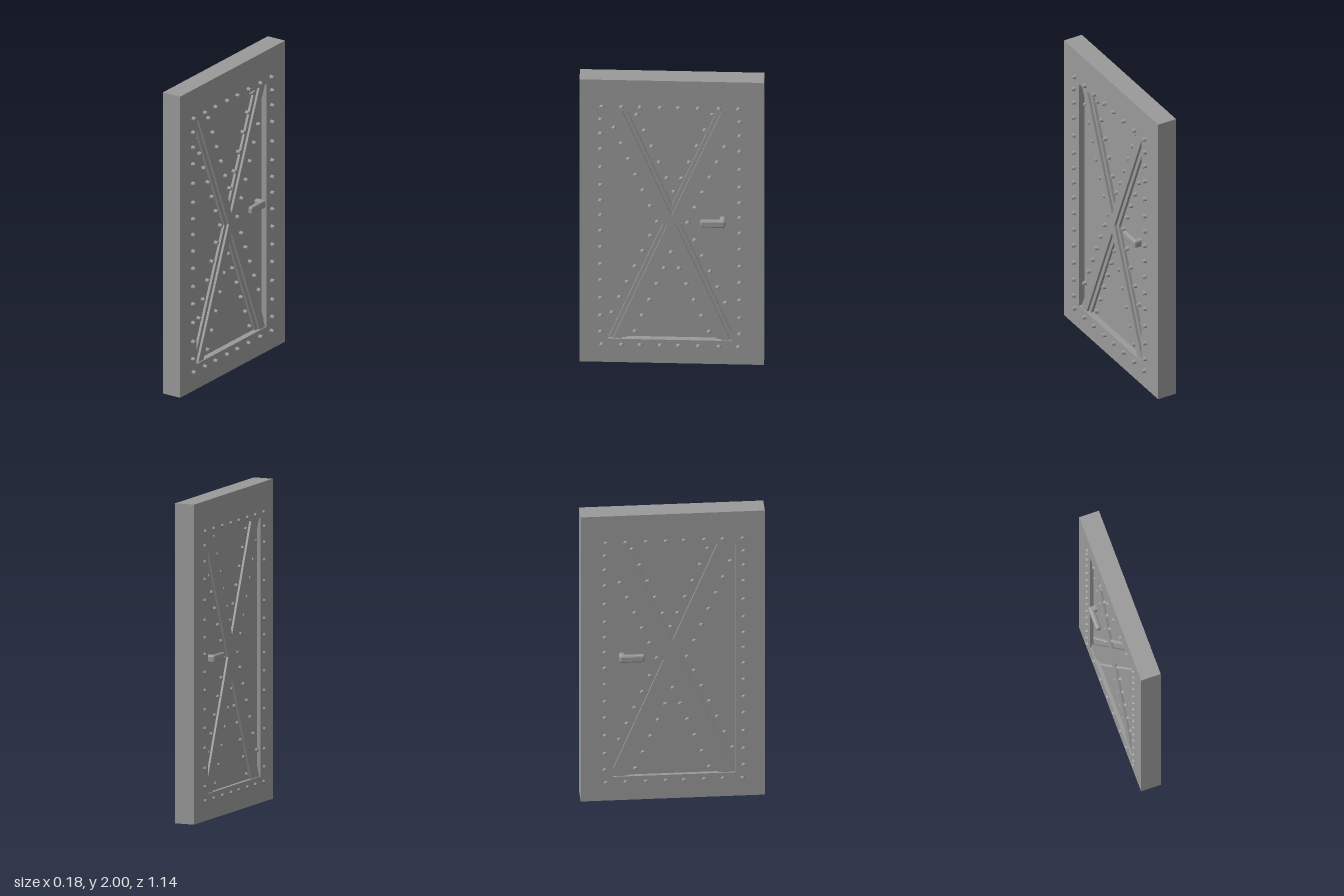
import * as THREE from 'three';
import { RoundedBoxGeometry } from 'three/addons/geometries/RoundedBoxGeometry.js';

const material = new THREE.MeshStandardMaterial({ color: 0x999999, flatShading: true });

// Recess limits, then frame and panel faces on the left (+x) and right (-x)
const Z0 = -0.37, Z1 = 0.39, Y0 = 0.165, Y1 = 1.78;
const FACE_L = 0.066, FACE_R = -0.063, PANEL_L = 0.026, PANEL_R = -0.04;

function addMesh(parent, name, geometry) {
  const mesh = new THREE.Mesh(geometry, material);
  mesh.name = name;
  parent.add(mesh);
  return mesh;
}

function polygon(points, Type = THREE.Shape) {
  return new Type(points.map(([z, y]) => new THREE.Vector2(-z, y)));
}

// Outline in (z, y), extruded along x from x0 to x1
function slab(shape, x0, x1) {
  const g = new THREE.ExtrudeGeometry(shape, { depth: x1 - x0, bevelEnabled: false });
  g.translate(0, 0, x0);
  g.rotateY(Math.PI / 2);
  return g;
}

// Evenly spaced rivet spots from one point to another
function row(a, b, n) {
  return Array.from({ length: n }, (_, i) => {
    const t = i / (n - 1);
    return [a[0] + (b[0] - a[0]) * t, a[1] + (b[1] - a[1]) * t];
  });
}

function addRivets(parent, name, spots, baseX, side, height) {
  const g = new THREE.CylinderGeometry(0.01, 0.0145, height, 8);
  g.translate(0, height / 2, 0);
  g.rotateZ(-side * Math.PI / 2);
  for (const [z, y] of spots) addMesh(parent, name, g).position.set(baseX, y, z);
}

// Diagonal beam, symmetric about z = 0; its rear ends run into the frame
function beamShape(inset, flip) {
  const outer = Z1 - inset, inner = Z1 - 0.11 + inset;
  const pts = [[outer, Y1], [inner, Y1], [-outer, Y0], [-inner, Y0]];
  return polygon(flip ? pts.map(([z, y]) => [-z, y]).reverse() : pts);
}

export function createModel() {
  const door = new THREE.Group();
  door.name = 'door';

  // Outer frame with a rectangular opening, and the thinner panel inside it
  const frame = polygon([[0.57, 0], [-0.57, 0], [-0.57, 2], [0.57, 2]]);
  frame.holes.push(polygon([[Z1, Y0], [Z1, Y1], [Z0, Y1], [Z0, Y0]], THREE.Path));
  addMesh(door, 'frame', slab(frame, FACE_R, FACE_L));
  addMesh(door, 'panel', slab(
    polygon([[Z1, Y0], [Z0, Y0], [Z0, Y1], [Z1, Y1]]), PANEL_R, PANEL_L));

  // Crossed braces: stepped on the left face, plain and shallow on the right
  for (const flip of [false, true]) {
    addMesh(door, 'braceBase', slab(beamShape(0, flip), PANEL_L - 0.005, 0.043));
    addMesh(door, 'braceRidge', slab(beamShape(0.027, flip), PANEL_L, 0.059));
    addMesh(door, 'plainBrace', slab(beamShape(0, flip), -0.054, PANEL_R + 0.005));
  }

  // Rivets around the frame
  const rowZ = [0.432, 0.31, 0.195, 0.07, -0.042, -0.165, -0.292, -0.413];
  const columnY = [1.72, 1.62, 1.51, 1.38, 1.255, 1.145, 1.04, 0.93,
    0.815, 0.695, 0.58, 0.455, 0.33, 0.215];
  const frameSpots = [
    ...rowZ.flatMap((z) => [[z, 1.81], [z, 0.125]]),
    ...columnY.flatMap((y) => [[0.439, y], [-0.421, y]]),
  ];
  // Rivets following the edges of the braces
  const panelSpots = [
    ...row([0.358, 1.64], [0.09, 0.98], 7),
    ...row([0.133, 0.88], [0.371, 0.33], 6),
    ...row([-0.326, 1.517], [-0.097, 0.976], 6),
    ...row([-0.14, 0.854], [-0.331, 0.414], 5),
    ...row([0.217, 1.735], [0.032, 1.29], 5),
    [-0.012, 1.194],
    ...row([-0.06, 1.29], [-0.251, 1.75], 5),
    ...row([0.003, 0.764], [0.228, 0.2], 6),
    ...row([-0.044, 0.652], [-0.23, 0.207], 5),
  ];
  addRivets(door, 'frameRivet', frameSpots, FACE_L, 1, 0.023);
  addRivets(door, 'frameRivet', frameSpots, FACE_R, -1, 0.012);
  addRivets(door, 'panelRivet', panelSpots, PANEL_L, 1, 0.023);
  addRivets(door, 'panelRivet', panelSpots, PANEL_R, -1, 0.014);

  // Lever handle on each face: a post at the rear end and a bar
  for (const [side, base] of [[1, PANEL_L], [-1, -PANEL_R]]) {
    const handle = new THREE.Group();
    handle.name = side > 0 ? 'leftHandle' : 'rightHandle';
    const length = 0.101 - base;
    addMesh(handle, 'handlePost', new RoundedBoxGeometry(length, 0.05, 0.036, 1, 0.011))
      .position.set(side * (0.091 - length / 2), 1, -0.314);
    addMesh(handle, 'handleBar', new RoundedBoxGeometry(0.032, 0.05, 0.156, 1, 0.011))
      .position.set(side * 0.075, 1, -0.254);
    door.add(handle);
  }
  return door;
}
